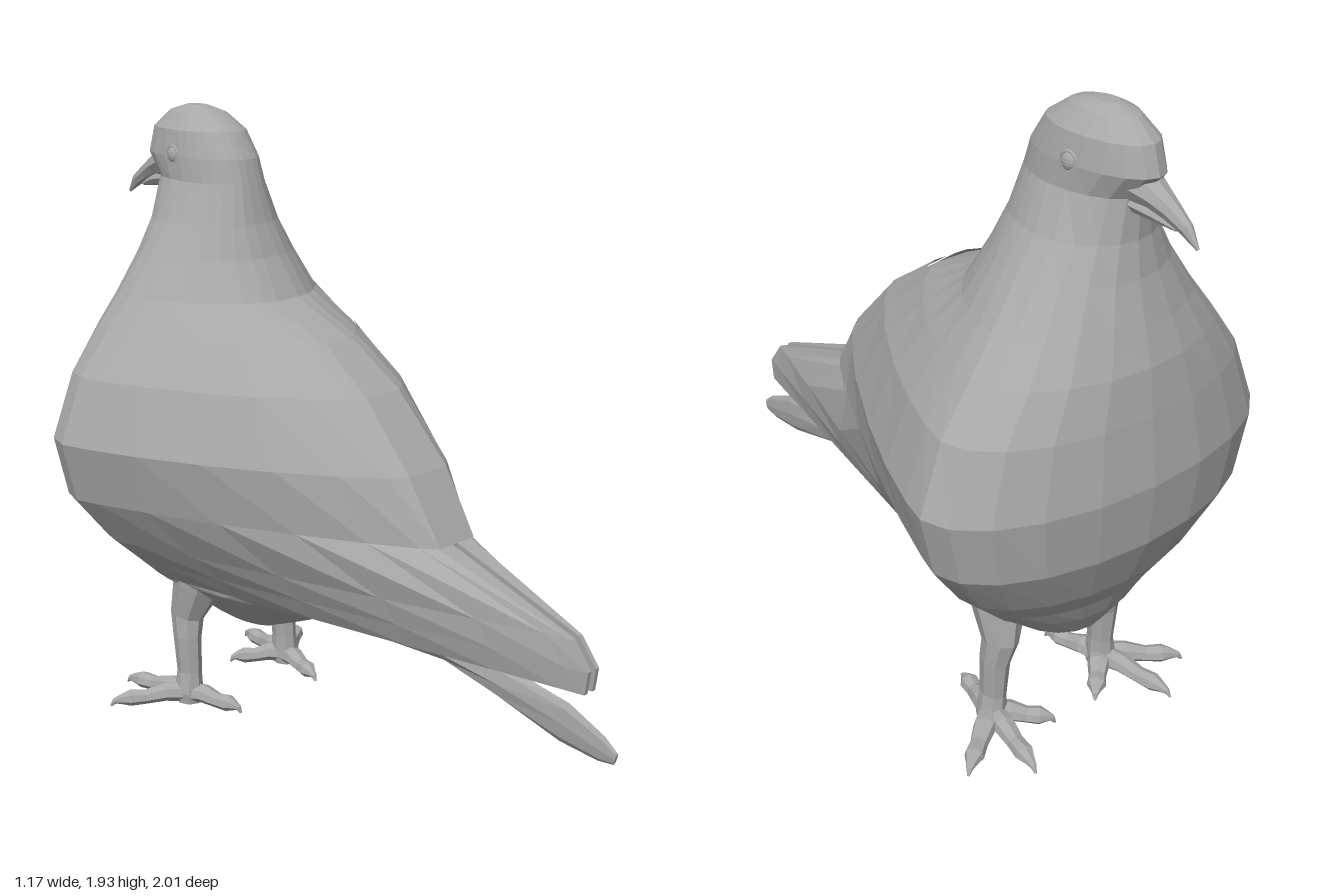
import * as THREE from 'three';

const grey = new THREE.MeshStandardMaterial({ color: 0xa8a8a8, flatShading: true, side: THREE.DoubleSide });
grey.name = 'stone grey';

// Skin between successive rings of equal point count, closed and capped unless it is a strip
function loft(name, rings, strip = false) {
  const n = rings[0].length, pos = rings.flat(2), idx = [];
  const last = (rings.length - 1) * n;
  for (let i = 0; i < rings.length - 1; i++) {
    for (let j = 0; j < (strip ? n - 1 : n); j++) {
      const a = i * n + j, b = i * n + (j + 1) % n;
      idx.push(a, b, a + n, b, b + n, a + n);
    }
  }
  if (!strip) {
    for (let j = 1; j < n - 1; j++) {
      idx.push(0, j + 1, j, last, last + j, last + j + 1);
    }
  }
  const g = new THREE.BufferGeometry();
  g.setAttribute('position', new THREE.Float32BufferAttribute(pos, 3));
  g.setIndex(idx);
  g.computeVertexNormals();
  const mesh = new THREE.Mesh(g, grey);
  mesh.name = name;
  return mesh;
}

// Tapered limb along stations [x, y, z, side radius, other radius]
function limb(name, stations, ref = [0, 1, 0], sides = 8) {
  const up = new THREE.Vector3(...ref);
  const P = stations.map(s => new THREE.Vector3(s[0], s[1], s[2]));
  const rings = stations.map(([, , , rs, ru], i) => {
    const t = P[Math.min(i + 1, P.length - 1)].clone().sub(P[Math.max(i - 1, 0)]).normalize();
    const side = t.clone().cross(up).normalize();
    const over = side.clone().cross(t);
    return Array.from({ length: sides }, (_, k) => {
      const a = k / sides * Math.PI * 2;
      return P[i].clone().addScaledVector(over, ru * Math.cos(a)).addScaledVector(side, rs * Math.sin(a)).toArray();
    });
  });
  return loft(name, rings);
}

// Horizontal sections: y, breast z, back z, half width, z of widest point, back taper
const SECTIONS = [
  [1.94, -.71, -.63, .025, -.67, 1],
  [1.92, -.78, -.56, .065, -.66, 1],
  [1.87, -.845, -.49, .105, -.64, 1],
  [1.79, -.87, -.44, .12, -.62, 1],
  [1.72, -.81, -.42, .125, -.60, 1],
  [1.60, -.81, -.39, .18, -.62, 1],
  [1.50, -.83, -.35, .245, -.63, 1.1],
  [1.38, -.87, -.28, .33, -.65, 1.2],
  [1.28, -.905, -.07, .41, -.67, 1.4],
  [1.15, -.93, .11, .51, -.69, 1.5],
  [.95, -.96, .29, .585, -.70, 1.6],
  [.76, -.945, .405, .54, -.70, 1.75],
  [.60, -.88, .85, .42, -.66, 2],
  [.52, -.83, .91, .34, -.63, 2],
  [.45, -.80, .90, .27, -.60, 2],
  [.435, -.79, 0, .25, -.59, 1.2],
  [.36, -.745, -.18, .16, -.57, 1],
  [.29, -.65, -.35, .08, -.52, 1],
  [.27, -.56, -.45, .025, -.5, 1],
];
const FRONT = 5, BACK = 7, GAP = .01, NOTCH = .42;

// Teardrop ring; the long low rings are split at the back into two wing tips
function bodyRing([y, zf, zb, hw, zw, taper]) {
  const backHalf = zb > NOTCH ? .025 : hw * .13;
  const half = [];
  for (let i = 0; i < FRONT; i++) {
    const a = i / FRONT * Math.PI / 2;
    half.push([hw * Math.sin(a), zw + (zf - zw) * Math.cos(a)]);
  }
  for (let i = 0; i <= BACK; i++) {
    const a = i / BACK * Math.PI / 2;
    const c = Math.max(0, Math.cos(a)) ** taper;
    half.push([backHalf + (hw - backHalf) * c, zw + (zb - zw) * Math.sin(a) ** taper]);
  }
  const inner = Math.min(GAP, backHalf), notch = Math.min(zb, NOTCH);
  half.push([inner, zb], [inner, notch], [0, notch]);
  // The head and the tail sit slightly to the right of the breast
  const headShift = -.03 * THREE.MathUtils.clamp((y - 1.15) / .45, 0, 1);
  const shift = z => Math.min(headShift, -.022 * (z - zw) / (zb - zw));
  const left = half.map(([x, z]) => [x + shift(z), y, z]);
  const right = half.slice(1, -1).reverse().map(([x, z]) => [-x + shift(z), y, z]);
  return [...left, ...right];
}

export function createModel() {
  const model = new THREE.Group();
  model.name = 'bird';
  const rings = SECTIONS.map(bodyRing);
  model.add(loft('head', rings.slice(0, 5)), loft('bodyAndWings', rings.slice(4)));

  // Overlapping feathers along the back, lifted slightly off the body
  const tail = FRONT + BACK, n = rings[0].length;
  for (const s of [1, -1]) {
    for (const [from, to, lift] of [[tail - 2, tail + 1, .008], [tail - 3, tail - 2, .004]]) {
      const strip = rings.slice(8, 12).map(r => {
        const row = [];
        for (let j = from; j <= to; j++) {
          const [x, y, z] = r[s > 0 ? j : n - j];
          row.push([x + s * lift * .5, y + lift * .5, z + lift]);
        }
        return s > 0 ? row : row.reverse();
      });
      model.add(loft('backFeather', strip, true));
    }
  }

  // Narrow folded tail below the wing tips
  model.add(limb('tail', [
    [-.015, .42, .05, .08, .02], [-.02, .425, .4, .05, .03], [-.022, .385, .6, .028, .055],
    [-.025, .335, .82, .016, .065], [-.027, .30, .95, .011, .042], [-.027, .285, 1.0, .006, .02],
  ]));

  // Hooked beak and the small lower bill
  model.add(limb('upperBeak', [
    [-.035, 1.755, -.80, .06, .055], [-.037, 1.735, -.86, .042, .035], [-.04, 1.71, -.91, .028, .027],
    [-.042, 1.68, -.96, .018, .02], [-.043, 1.64, -1.0, .004, .005],
  ]));
  model.add(limb('lowerBeak', [
    [-.035, 1.705, -.79, .045, .03], [-.037, 1.69, -.87, .028, .02], [-.04, 1.67, -.93, .008, .006],
  ]));

  for (const s of [1, -1]) {
    // Eye with a raised rim; the bird faces -z
    const eye = new THREE.Group();
    eye.name = s > 0 ? 'eyeOnPlusX' : 'eyeOnMinusX';
    const ball = new THREE.Mesh(new THREE.SphereGeometry(.024, 12, 8), grey);
    ball.name = 'eyeball';
    ball.scale.z = .5;
    const rim = new THREE.Mesh(new THREE.TorusGeometry(.027, .005, 6, 16), grey);
    rim.name = 'eyelid';
    eye.add(ball, rim);
    eye.position.set(-.03 + s * .113, 1.795, -.66);
    eye.rotation.y = s * (Math.PI / 2 + .1);
    model.add(eye);

    // Thigh, shank and ankle
    const leg = new THREE.Group();
    leg.name = s > 0 ? 'legOnPlusX' : 'legOnMinusX';
    leg.add(limb('thighAndShank', [
      [s * .17, .52, -.53, .10, .11], [s * .185, .42, -.55, .08, .085], [s * .205, .31, -.585, .05, .06],
      [s * .215, .24, -.575, .042, .05], [s * .215, .12, -.57, .036, .045], [s * .22, .05, -.57, .045, .05],
      [s * .22, .015, -.57, .04, .045],
    ], [0, 0, 1]));

    // Three front toes and one back toe, each ending in a claw
    for (const [x, z] of [[.43, -.72], [.27, -.83], [.08, -.70], [.17, -.37]]) {
      const at = (t, y, r, ry) => [s * (.22 + (x - .22) * t), y, -.57 + (z + .57) * t, r, ry];
      leg.add(limb('toe', [
        at(0, .045, .038, .035), at(.3, .05, .035, .03), at(.55, .038, .027, .024), at(.75, .038, .03, .027),
        at(.86, .035, .018, .018), at(.95, .03, .01, .01), at(1, .014, .003, .003),
      ], [0, 1, 0], 7));
    }
    model.add(leg);
  }
  return model;
}
